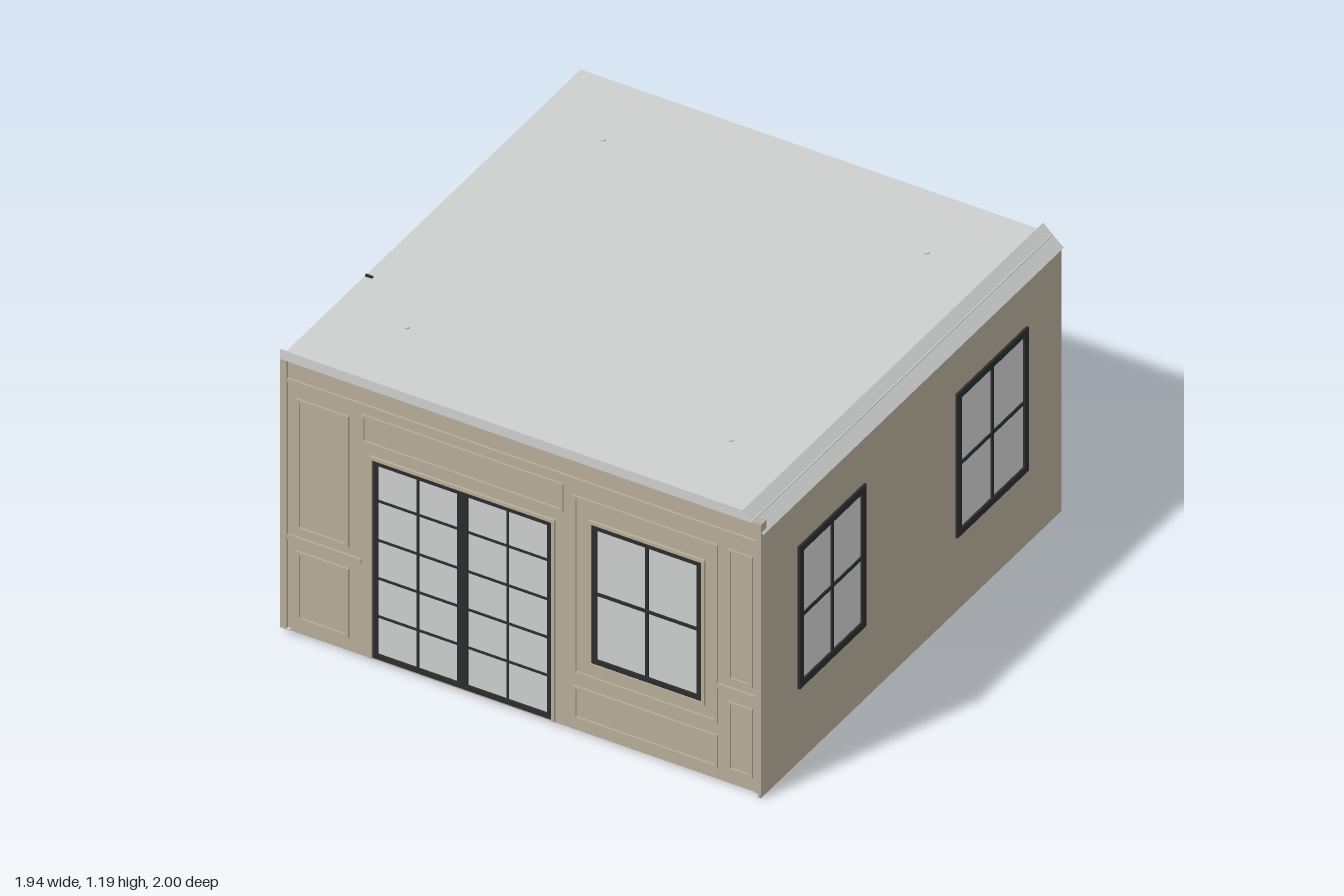
import * as THREE from 'three';

const mat = (name, color, side = THREE.FrontSide) => {
  const m = new THREE.MeshStandardMaterial({ color, side });
  m.name = name;
  return m;
};

export function createModel() {
  const tan = mat('tan wall paint', 0xb7ac99);
  const grey = mat('pale grey ceiling', 0xcdcfce, THREE.DoubleSide);
  const glass = mat('pale glass', 0xcccecd);
  const black = mat('black frame', 0x2a2c2e);

  const room = new THREE.Group();
  room.name = 'room';

  // Box given by its min and max corners
  const box = (parent, name, m, x0, x1, y0, y1, z0, z1) => {
    const mesh = new THREE.Mesh(new THREE.BoxGeometry(x1 - x0, y1 - y0, z1 - z0), m);
    mesh.position.set((x0 + x1) / 2, (y0 + y1) / 2, (z0 + z1) / 2);
    mesh.name = name;
    parent.add(mesh);
    return mesh;
  };

  const rectPath = (P, x0, x1, y0, y1) => {
    const p = new P();
    p.moveTo(x0, y0).lineTo(x1, y0).lineTo(x1, y1).lineTo(x0, y1).closePath();
    return p;
  };

  // Flat slab with rectangular holes, z0 to z1
  const slab = (parent, name, m, [x0, x1, y0, y1], holes, z0, z1) => {
    const s = rectPath(THREE.Shape, x0, x1, y0, y1);
    holes.forEach(h => s.holes.push(rectPath(THREE.Path, ...h)));
    const mesh = new THREE.Mesh(new THREE.ExtrudeGeometry(s, { depth: z1 - z0, bevelEnabled: false }), m);
    mesh.position.z = z0;
    mesh.name = name;
    parent.add(mesh);
  };

  // Rectangular moulding or frame of width w
  const frame = (parent, name, m, [x0, x1, y0, y1], w, z0, z1) =>
    slab(parent, name, m, [x0, x1, y0, y1], [[x0 + w, x1 - w, y0 + w, y1 - w]], z0, z1);

  // Glazed unit: glass, frame and bars
  const glazing = (parent, name, r, w, cols, rows, bar, z) => {
    const g = new THREE.Group();
    g.name = name;
    parent.add(g);
    const [x0, x1, y0, y1] = r;
    box(g, 'glass', glass, x0 + w / 2, x1 - w / 2, y0 + w / 2, y1 - w / 2, z - 0.018, z - 0.008);
    frame(g, 'frame', black, r, w, z - 0.02, z);
    cols.forEach(x => box(g, 'uprightBar', black, x - bar / 2, x + bar / 2, y0 + w, y1 - w, z - 0.014, z - 0.003));
    rows.forEach(y => box(g, 'crossBar', black, x0 + w, x1 - w, y - bar / 2, y + bar / 2, z - 0.014, z - 0.003));
  };

  const side = (name, angle) => {
    const g = new THREE.Group();
    g.name = name;
    g.rotation.y = angle;
    room.add(g);
    return g;
  };

  // Front wall with double door and window
  const front = side('frontWall', 0);
  const doorHole = [-0.605, 0.115, 0.022, 0.855], winHole = [0.275, 0.717, 0.32, 0.905];
  slab(front, 'wall', tan, [-0.97, 0.96, 0.02, 1.15], [doorHole, winHole], 0.965, 0.988);
  glazing(front, 'leftLeaf', [-0.605, -0.245, 0.022, 0.855], 0.02, [-0.425], [0.2, 0.36, 0.52, 0.685], 0.008, 0.992);
  glazing(front, 'rightLeaf', [-0.245, 0.115, 0.022, 0.855], 0.02, [-0.065], [0.2, 0.36, 0.52, 0.685], 0.008, 0.992);
  glazing(front, 'frontWindow', winHole, 0.02, [0.495], [0.615], 0.012, 0.994);
  frame(front, 'windowTrim', tan, [0.262, 0.73, 0.308, 0.918], 0.013, 0.985, 0.998);
  box(front, 'doorTrimTop', tan, -0.618, 0.128, 0.855, 0.868, 0.985, 0.998);
  [-0.618, 0.115].forEach(x => box(front, 'doorTrimSide', tan, x, x + 0.013, 0.02, 0.855, 0.985, 0.998));

  // Raised wall mouldings
  [[-0.91, -0.7, 0.45, 1.0], [-0.91, -0.7, 0.07, 0.36], [-0.65, 0.16, 0.91, 1.03],
    [0.2, 0.78, 0.25, 1.0], [0.2, 0.78, 0.06, 0.2], [0.82, 0.92, 0.45, 1.0], [0.82, 0.92, 0.07, 0.36]]
    .forEach(r => frame(front, 'panelMoulding', tan, r, 0.012, 0.985, 0.995));
  box(front, 'pictureRail', tan, -0.95, 0.94, 1.06, 1.075, 0.985, 0.996);
  [[-0.95, -0.65], [0.78, 0.94]].forEach(([a, b]) => box(front, 'chairRail', tan, a, b, 0.4, 0.42, 0.985, 0.996));
  [-0.97, 0.935].forEach(x => box(front, 'cornerStrip', tan, x, x + 0.025, 0.02, 1.15, 0.985, 1));

  // Windowed side wall; local x runs toward the back
  const right = side('windowSideWall', Math.PI / 2);
  const w1 = [-0.755, -0.31, 0.317, 0.915], w2 = [0.295, 0.77, 0.317, 0.922];
  slab(right, 'wall', tan, [-1, 1, 0.02, 1.115], [w1, w2], 0.94, 0.958);
  glazing(right, 'sideWindow', w1, 0.028, [-0.53], [0.615], 0.014, 0.967);
  glazing(right, 'sideWindow', w2, 0.028, [0.535], [0.615], 0.014, 0.967);
  box(right, 'baseStrip', tan, -1, 1, 0.004, 0.022, 0.948, 0.958);
  box(right, 'cornicePiece', tan, -0.998, -0.965, 1.13, 1.155, 0.925, 0.96);

  // Back wall with a panelled door; local x is reversed
  const back = side('backWall', Math.PI);
  box(back, 'wall', tan, -0.92, 0.96, 0.02, 1.15, 0.975, 0.992);
  box(back, 'doorLeaf', tan, 0.59, 0.89, 0.025, 0.84, 0.99, 0.994);
  [0.56, 0.89].forEach(x => box(back, 'doorCasing', tan, x, x + 0.03, 0.02, 0.87, 0.99, 1));
  box(back, 'doorCasingTop', tan, 0.59, 0.89, 0.84, 0.87, 0.99, 1);
  [[0.08, 0.3], [0.36, 0.5], [0.55, 0.79]].forEach(([a, b]) =>
    frame(back, 'doorPanel', tan, [0.64, 0.85, a, b], 0.01, 0.993, 0.997));
  const knob = new THREE.Mesh(new THREE.SphereGeometry(0.011, 12, 8), black);
  knob.name = 'doorKnob';
  knob.position.set(0.605, 0.33, 0.989);
  back.add(knob);

  // Partly open side; local x runs toward the front
  const left = side('openSide', -Math.PI / 2);
  [[-0.36, 0.39], [0.44, 0.9]].forEach(([a, b]) => box(left, 'wallPanel', tan, a, b, 0.02, 1.15, 0.92, 0.935));
  [[-1, -0.965], [-0.47, -0.36], [0.39, 0.44], [0.9, 0.99]].forEach(([a, b]) => {
    box(left, 'post', tan, a, b, 0.02, 1.15, 0.915, 0.95);
    box(left, 'postBase', tan, a, b, 0.02, 0.1, 0.915, 0.957);
    box(left, 'postCap', tan, a, b, 1.11, 1.15, 0.915, 0.957);
  });
  box(left, 'threshold', grey, -0.36, 1, 0.02, 0.026, 0.93, 0.968);
  const socket = new THREE.Mesh(new THREE.CylinderGeometry(0.018, 0.018, 0.006, 16), tan);
  socket.name = 'socket';
  socket.rotation.x = Math.PI / 2;
  socket.position.set(0.04, 0.13, 0.937);
  left.add(socket);
  box(left, 'cableTab', black, 0.43, 0.438, 1.15, 1.165, 0.94, 0.968);

  // Floor and ceiling
  box(room, 'floor', tan, -0.97, 0.955, 0.014, 0.022, -0.998, 0.988);
  box(room, 'ceiling', grey, -0.97, 0.925, 1.15, 1.158, -1, 1);
  box(room, 'frontFascia', grey, -0.97, 0.885, 1.15, 1.19, 0.994, 1);

  // Sloped ceiling edge, and the small triangle closing the fascia
  const slopeGeo = new THREE.PlaneGeometry(Math.hypot(0.083, 0.075), 2);
  slopeGeo.rotateX(-Math.PI / 2);
  const slope = new THREE.Mesh(slopeGeo, grey);
  slope.name = 'slopedEdge';
  slope.rotation.z = -Math.atan2(0.075, 0.083);
  slope.position.set(0.9265, 1.1525, 0);
  room.add(slope);
  const tri = new THREE.Shape([[0.885, 1.15], [0.927, 1.15], [0.885, 1.19]].map(p => new THREE.Vector2(...p)));
  const cap = new THREE.Mesh(new THREE.ShapeGeometry(tri), grey);
  cap.name = 'fasciaEnd';
  cap.position.z = 0.999;
  room.add(cap);

  // Recessed ceiling lights
  for (const x of [-0.69, 0.61]) for (const z of [-0.68, 0.625]) {
    const lamp = new THREE.Mesh(new THREE.CylinderGeometry(0.012, 0.012, 0.02, 16), grey);
    lamp.name = 'ceilingLight';
    lamp.position.set(x, 1.153, z);
    room.add(lamp);
  }

  // Table whose legs pass through the floor, and a low bench by the opening
  for (const x of [0.14, 0.89]) for (const z of [-0.27, 0.43])
    box(room, 'tableLeg', tan, x - 0.018, x + 0.018, 0, 0.26, z - 0.02, z + 0.02);
  box(room, 'tableTop', tan, 0.1, 0.93, 0.26, 0.29, -0.32, 0.48);
  box(room, 'bench', tan, -0.6, -0.2, 0.022, 0.23, -0.9, 0.1);

  return room;
}
